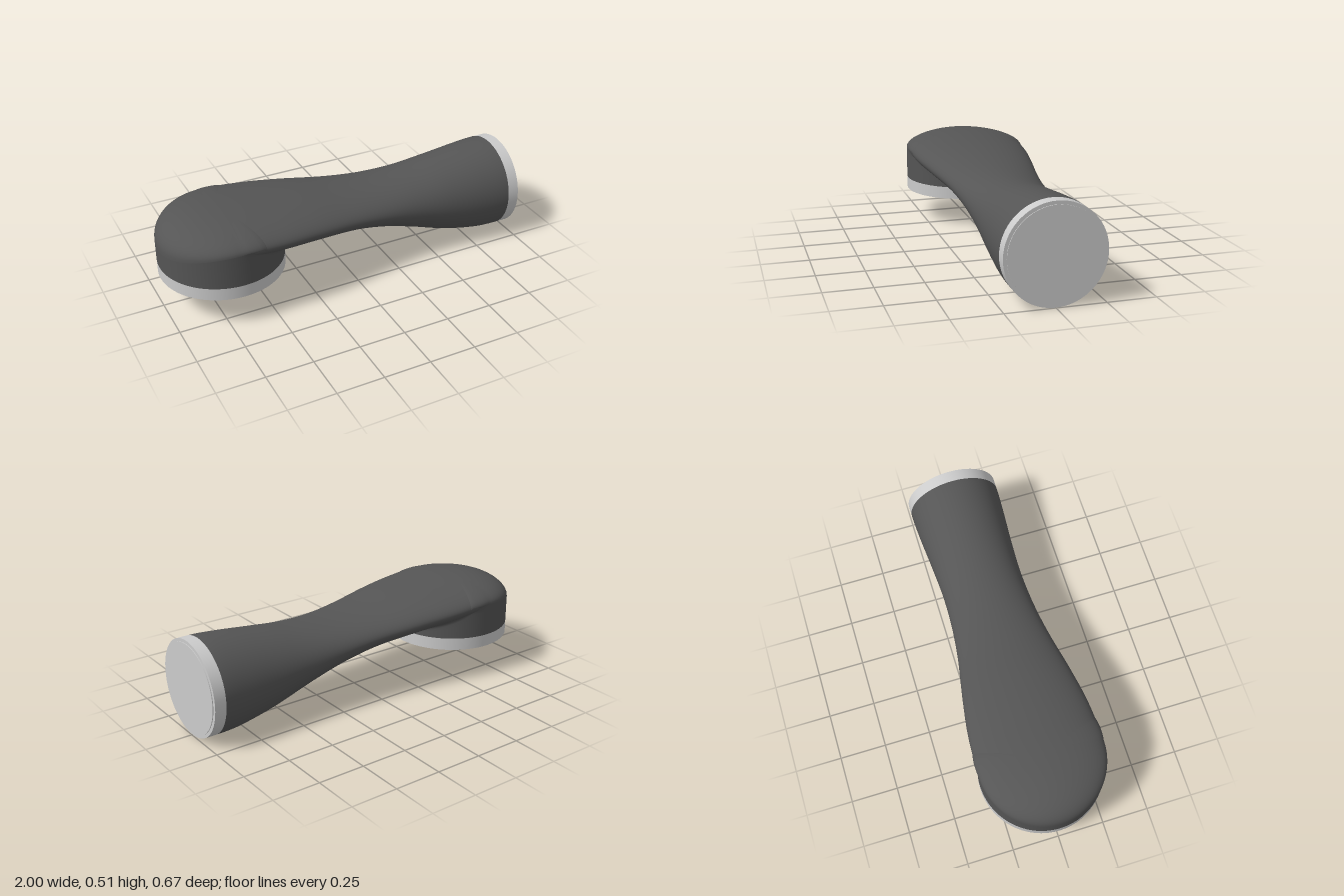
import * as THREE from 'three';

// Arm stations: x, top y, bottom y, half width
const STATIONS = [
  [-0.67, 0.508, 0.312, 0.33],
  [-0.45, 0.496, 0.297, 0.322],
  [-0.25, 0.478, 0.282, 0.294],
  [0, 0.449, 0.252, 0.25],
  [0.2, 0.44, 0.2, 0.229],
  [0.4, 0.45, 0.128, 0.224],
  [0.6, 0.475, 0.055, 0.234],
  [0.8, 0.499, 0.009, 0.248],
  [0.935, 0.508, 0.001, 0.2535],
];
const HEAD_X = -0.67, HEAD_R = 0.33, SEAM_Y = 0.235;

// Smooth interpolation of one station column at x
function sample(x, k) {
  const S = STATIONS, n = S.length - 1;
  let i = 0;
  while (i < n - 1 && x > S[i + 1][0]) i++;
  const slope = (j) => {
    if (j === 0 || j === n) return 0;
    return (S[j + 1][k] - S[j - 1][k]) / (S[j + 1][0] - S[j - 1][0]);
  };
  const h = S[i + 1][0] - S[i][0];
  const t = THREE.MathUtils.clamp((x - S[i][0]) / h, 0, 1);
  const t2 = t * t, t3 = t2 * t;
  return S[i][k] * (2 * t3 - 3 * t2 + 1) + S[i + 1][k] * (3 * t2 - 2 * t3)
    + h * (slope(i) * (t3 - 2 * t2 + t) + slope(i + 1) * (t3 - t2));
}

// Underside height of the arm at x, z
function armUnderside(x, z) {
  const top = sample(x, 1), bottom = sample(x, 2), w = sample(x, 3);
  const q = Math.sqrt(Math.max(0, 1 - (z / w) ** 2));
  return (top + bottom) / 2 - ((top - bottom) / 2) * q;
}

// Closed loops of points skinned into one smooth surface
function skin(rows, cols, point) {
  const pos = [], index = [];
  for (let i = 0; i <= rows; i++) {
    for (let j = 0; j < cols; j++) pos.push(...point(i / rows, (j / cols) * Math.PI * 2, i));
  }
  for (let i = 0; i < rows; i++) {
    for (let j = 0; j < cols; j++) {
      const a = i * cols + j, c = i * cols + ((j + 1) % cols);
      index.push(a, c, a + cols, c, c + cols, a + cols);
    }
  }
  const g = new THREE.BufferGeometry();
  g.setAttribute('position', new THREE.Float32BufferAttribute(pos, 3));
  g.setIndex(index);
  g.computeVertexNormals();
  return g;
}

// Lofted arm with elliptical sections
function armGeometry() {
  return skin(64, 64, (t, a) => {
    const x = THREE.MathUtils.lerp(HEAD_X, 0.935, t);
    const top = sample(x, 1), bottom = sample(x, 2);
    return [
      x,
      (top + bottom) / 2 + ((top - bottom) / 2) * Math.cos(a),
      sample(x, 3) * Math.sin(a),
    ];
  });
}

// Domed head: round wall, fillet below the arm, then a squashed dome
function headGeometry() {
  const WALL = 4, FILLET = 8, DOME = 20;
  return skin(WALL + FILLET + DOME, 96, (t, a, i) => {
    const c = Math.cos(a), s = Math.sin(a);
    const flare = 0.06 * Math.max(0, c);
    const rimR = HEAD_R + flare;
    const rimY = c > 0
      ? armUnderside(HEAD_X + rimR * c, rimR * s) + 0.004
      : 0.41 - 0.065 * c * c;
    const filletH = Math.min(0.04, (rimY - SEAM_Y) * 0.8);
    let r = HEAD_R, y;
    if (i <= WALL) {
      y = THREE.MathUtils.lerp(SEAM_Y, rimY - filletH, i / WALL);
    } else if (i <= WALL + FILLET) {
      const f = ((i - WALL) / FILLET) * Math.PI / 2;
      r += flare * (1 - Math.cos(f));
      y = rimY - filletH * (1 - Math.sin(f));
    } else {
      const f = ((i - WALL - FILLET) / DOME) * Math.PI / 2;
      const e = 2 / (c < 0 ? 2 + 0.4 * c * c : 2);
      r = rimR * Math.max(0, Math.cos(f)) ** e;
      y = rimY + (0.507 - rimY) * Math.sin(f) ** e;
    }
    return [HEAD_X + r * c, y, -r * s];
  });
}

// Joint flange along +y: a ring with a slightly raised end cap
function makeFlange(name, radius, height, material) {
  const flange = new THREE.Group();
  flange.name = name;
  const lip = 0.004;
  const ring = new THREE.Mesh(new THREE.CylinderGeometry(radius, radius, height - lip, 64), material);
  ring.name = 'ring';
  ring.position.y = (height - lip) / 2;
  const cap = new THREE.Mesh(
    new THREE.CylinderGeometry(radius * 0.93, radius * 0.93, lip * 2, 64), material);
  cap.name = 'cap';
  cap.position.y = height - lip;
  flange.add(ring, cap);
  return flange;
}

export function createModel() {
  const model = new THREE.Group();
  model.name = 'armLink';
  const dark = new THREE.MeshStandardMaterial({ color: 0x555555 });
  const grey = new THREE.MeshStandardMaterial({ color: 0xcccccc });

  const arm = new THREE.Mesh(armGeometry(), dark);
  arm.name = 'arm';
  const head = new THREE.Mesh(headGeometry(), dark);
  head.name = 'head';

  // Flange facing down under the head
  const headFlange = makeFlange('headFlange', HEAD_R, 0.071, grey);
  headFlange.rotation.x = Math.PI;
  headFlange.position.set(HEAD_X, SEAM_Y, 0);

  // Flange facing sideways at the arm end
  const endFlange = makeFlange('endFlange', 0.2535, 0.065, grey);
  endFlange.rotation.z = -Math.PI / 2;
  endFlange.position.set(0.935, 0.2545, 0);

  model.add(arm, head, headFlange, endFlange);
  return model;
}
